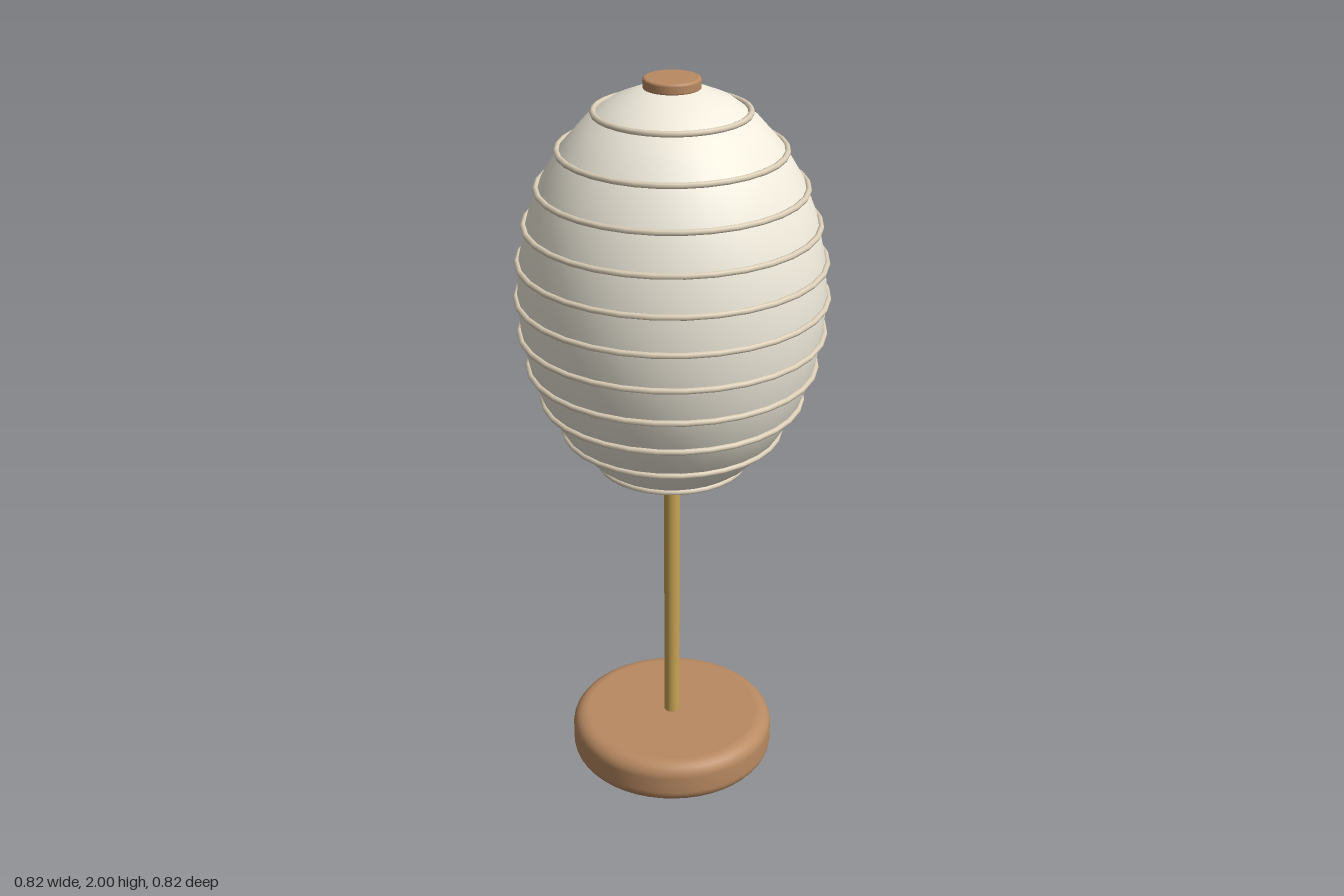
import * as THREE from 'three';

const mat = (color) => new THREE.MeshStandardMaterial({ color });
const wood = mat(0xb98a62), brass = mat(0xc9a456), paper = mat(0xf0ebdc), rib = mat(0xdccfb8);

function part(parent, name, geometry, material, y = 0) {
  const mesh = new THREE.Mesh(geometry, material);
  mesh.name = name;
  mesh.position.y = y;
  parent.add(mesh);
  return mesh;
}

// Solid disc standing on y = 0 with rounded upper and lower edges
function roundedDisc(radius, height, bevel, segments) {
  const points = [new THREE.Vector2(0, 0)];
  const corner = (cy, start) => {
    for (let i = 0; i <= 6; i++) {
      const a = start + (i / 6) * Math.PI / 2;
      points.push(new THREE.Vector2(radius - bevel + Math.cos(a) * bevel, cy + Math.sin(a) * bevel));
    }
  };
  // doubled points keep the flat faces flat
  points.push(new THREE.Vector2(radius - bevel - 0.001, 0));
  corner(bevel, -Math.PI / 2);
  corner(height - bevel, 0);
  points.push(new THREE.Vector2(radius - bevel - 0.001, height), new THREE.Vector2(0, height));
  return new THREE.LatheGeometry(points, segments);
}

export function createModel() {
  const lamp = new THREE.Group();
  lamp.name = 'paperLanternLamp';

  // Foot and stem
  part(lamp, 'base', roundedDisc(0.287, 0.127, 0.04, 48), wood, 0.003);
  part(lamp, 'stem', new THREE.CylinderGeometry(0.022, 0.022, 0.8, 20), brass, 0.52);

  // Egg-shaped paper shade
  const centre = 1.433, halfWidth = 0.4, halfHeight = 0.55;
  const egg = new THREE.SphereGeometry(1, 32, 16);
  egg.scale(halfWidth, halfHeight, halfWidth);
  part(lamp, 'shade', egg, paper, centre);

  // Evenly spaced ribs following the shade's outline
  const ribs = new THREE.Group();
  ribs.name = 'shadeRibs';
  for (let i = -5; i <= 5; i++) {
    const dy = i * 0.0963;
    const radius = halfWidth * Math.sqrt(1 - (dy / halfHeight) ** 2) + 0.003;
    const ring = new THREE.TorusGeometry(radius, 0.008, 8, 32);
    ring.rotateX(Math.PI / 2);
    part(ribs, 'rib', ring, rib, centre + dy);
  }
  lamp.add(ribs);

  // Cap on top of the shade
  part(lamp, 'topCap', roundedDisc(0.073, 0.03, 0.007, 32), wood, 1.97);

  return lamp;
}
